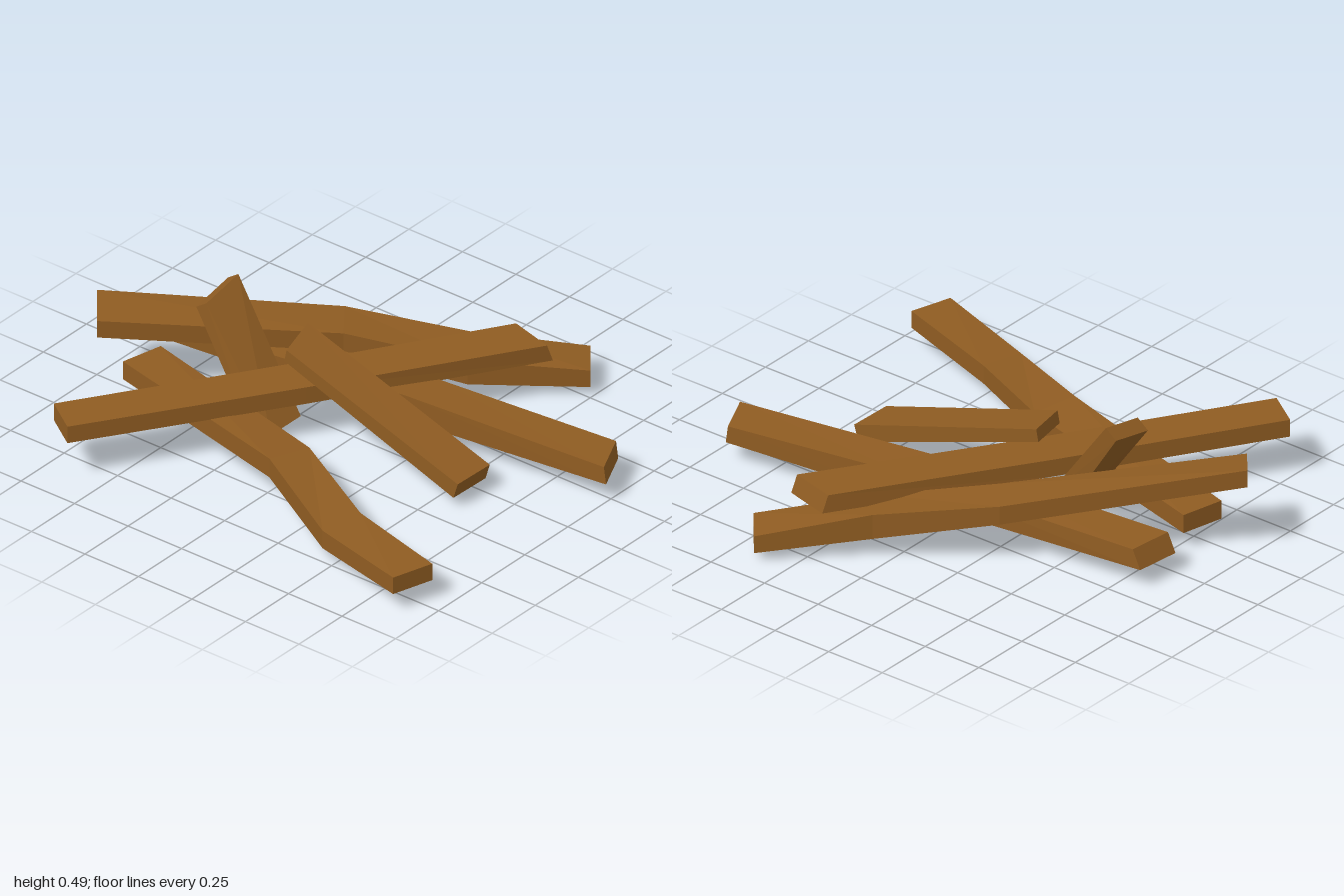
import * as THREE from 'three';

// Loft a plank through four-cornered sections.
// Each section: top-left corner, top-right corner, offset from top to bottom.
function plank(name, sections, material) {
  const rings = sections.map(([l, r, d = [0, -0.075, 0]]) => {
    const drop = (p) => p.map((v, i) => v + d[i]);
    return [l, r, drop(r), drop(l)];
  });
  const pos = [];
  const quad = (a, b, c, d) => pos.push(...a, ...b, ...c, ...a, ...c, ...d);
  for (let i = 0; i < rings.length - 1; i++) {
    const s = rings[i], e = rings[i + 1];
    for (let k = 0; k < 4; k++) {
      const n = (k + 1) % 4;
      quad(s[k], s[n], e[n], e[k]);
    }
  }
  const s = rings[0], e = rings[rings.length - 1];
  quad(s[0], s[3], s[2], s[1]);
  quad(e[0], e[1], e[2], e[3]);
  const geometry = new THREE.BufferGeometry();
  geometry.setAttribute('position', new THREE.Float32BufferAttribute(pos, 3));
  geometry.computeVertexNormals();
  const mesh = new THREE.Mesh(geometry, material);
  mesh.name = name;
  return mesh;
}

export function createModel() {
  const wood = new THREE.MeshStandardMaterial({ color: 0x8f5c22, flatShading: true });
  wood.name = 'brown wood';
  const group = new THREE.Group();
  group.name = 'scatteredPlanks';
  const add = (name, sections) => group.add(plank(name, sections, wood));

  // Twice-bent plank lying on the left
  add('leftBentPlank', [
    [[-0.865, 0.15, 0.88], [-0.70, 0.15, 0.93], [0, -0.07, 0]],
    [[-0.74, 0.125, 0.45], [-0.57, 0.135, 0.49]],
    [[-0.54, 0.18, 0.04], [-0.37, 0.165, 0.09], [0, -0.08, 0]],
    [[-0.31, 0.15, -0.83], [-0.14, 0.15, -0.79]],
  ]);

  // Bent plank sloping from the raised back end to the right
  add('slopingBentPlank', [
    [[-0.25, 0.362, -1.0], [-0.385, 0.335, -0.89], [0, -0.07, 0]],
    [[0.37, 0.25, -0.34], [0.225, 0.245, -0.23]],
    [[0.61, 0.18, 0.06], [0.46, 0.165, 0.16], [0, -0.1, 0]],
    [[0.90, 0.105, 0.38], [0.765, 0.105, 0.49], [0, -0.07, 0]],
  ]);

  // Level plank crossing the pile
  add('crossPlank', [
    [[-0.81, 0.24, -0.75], [-0.905, 0.24, -0.61], [0, -0.07, 0]],
    [[-0.05, 0.235, -0.26], [-0.14, 0.235, -0.11], [0, -0.07, 0]],
    [[0.68, 0.24, 0.21], [0.63, 0.24, 0.395], [0.022, -0.07, 0.01]],
  ]);

  // Long plank running front to back under the pile
  add('lowerPlank', [
    [[0.215, 0.15, 0.995], [0.385, 0.15, 0.915], [0, -0.07, 0.01]],
    [[0.115, 0.178, 0.15], [0.285, 0.172, 0.15], [0, -0.105, 0]],
    [[0.0, 0.155, -0.83], [0.18, 0.155, -0.81], [0, -0.075, -0.035]],
  ]);

  // Short plank leaning up from the front
  add('frontLeaningPlank', [
    [[-0.155, 0.105, 0.61], [0.025, 0.105, 0.615], [0, -0.065, -0.02]],
    [[-0.155, 0.37, -0.19], [0.025, 0.385, -0.235], [0, -0.05, -0.01]],
  ]);

  // Short steep plank at the back
  add('steepPlank', [
    [[-0.235, 0.04, -0.2], [-0.06, 0.04, -0.2], [0, -0.04, -0.08]],
    [[-0.185, 0.45, -0.54], [0.0, 0.487, -0.54], [0.003, -0.035, -0.05]],
  ]);

  return group;
}
